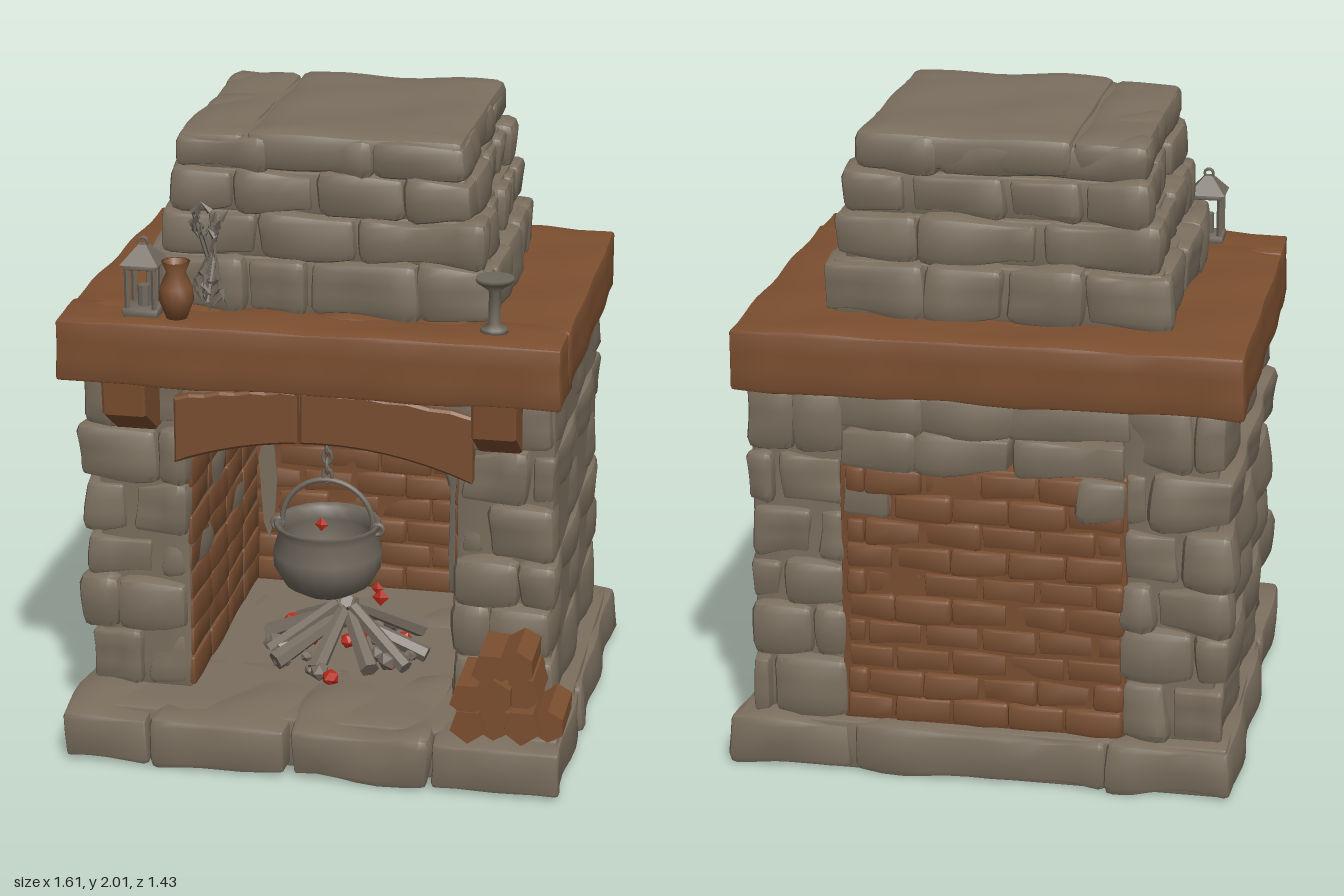
import * as THREE from 'three';
import { mergeGeometries, mergeVertices, toCreasedNormals } from 'three/addons/utils/BufferGeometryUtils.js';

const paint = (name, hex, side = THREE.FrontSide) => {
  const m = new THREE.MeshStandardMaterial({ color: hex, side });
  m.name = name;
  return m;
};
const V = (x, y, z) => new THREE.Vector3(x, y, z);

export function createModel() {
  const model = new THREE.Group();
  model.name = 'fireplace';
  const stone = paint('stone', 0x7a6e5e);
  const wood = paint('wood', 0x7c4f30);
  const brick = paint('brick', 0x794e31);
  const iron = paint('iron', 0x6f685d, THREE.DoubleSide);
  const ash = paint('ash', 0x756b60);
  const ember = paint('ember', 0xb52a1a, THREE.DoubleSide);

  let seed = 11;
  const rnd = (a = 0, b = 1) => {
    seed = (seed * 16807) % 2147483647;
    return a + (b - a) * (seed / 2147483647);
  };

  const add = (name, mat, geos) => {
    const clean = geos.map((g) => {
      const n = g.index ? g.toNonIndexed() : g;
      n.deleteAttribute('uv');
      return n;
    });
    const mesh = new THREE.Mesh(mergeGeometries(clean), mat);
    mesh.name = name;
    model.add(mesh);
  };

  // Chamfered, slightly lumpy block between two corners
  const block = (x0, x1, y0, y1, z0, z1, r = 0.022, amp = 0.011) => {
    const size = [x1 - x0, y1 - y0, z1 - z0];
    const mid = [(x0 + x1) / 2, (y0 + y1) / 2, (z0 + z1) / 2];
    r = Math.min(r, Math.min(...size) * 0.3);
    const segs = size.map((s) => Math.max(3, Math.min(16, Math.round(s / 0.07) + 2)));
    let g = new THREE.BoxGeometry(1, 1, 1, ...segs);
    g.deleteAttribute('uv');
    g.deleteAttribute('normal');
    g = mergeVertices(g);
    const p = g.attributes.position, ph = rnd(0, 20);
    for (let i = 0; i < p.count; i++) {
      const inner = [0, 1, 2].map((k) => {
        const n = segs[k], j = Math.round((p.getComponent(i, k) + 0.5) * n);
        return (Math.min(Math.max((j - 1) / (n - 2), 0), 1) - 0.5) * (size[k] - 2 * r);
      });
      const off = [0, 1, 2].map((k) => (Math.abs(p.getComponent(i, k)) > 0.499 ? Math.sign(p.getComponent(i, k)) : 0));
      const len = Math.hypot(...off);
      const [a, b, c] = inner;
      const lump = amp * (Math.sin(17 * a + ph) * Math.cos(15 * b + 2 * ph) + Math.sin(14 * c + 3 * ph + 9 * a) * 0.8 - 0.5);
      const q = inner.map((v, k) => v + (off[k] / len) * (r + lump) + mid[k]);
      p.setXYZ(i, q[0], Math.max(q[1], 0), q[2]);
    }
    return toCreasedNormals(g, 0.75);
  };

  // Splits a span into uneven pieces
  const cuts = (a, b, n) => Array.from({ length: n + 1 }, (_, i) =>
    a + ((b - a) * (i + (i > 0 && i < n ? rnd(-0.22, 0.22) : 0))) / n);

  // Course of stones around a rectangle
  const course = (x0, x1, y0, y1, z0, z1, nx, nz, t = 0.17) => {
    const out = [block(x0 + 0.04, x1 - 0.04, y0, y1 - 0.005, z0 + 0.04, z1 - 0.04, 0.01, 0)];
    for (const front of [true, false]) {
      const c = cuts(x0, x1, nx);
      for (let i = 0; i < nx; i++) {
        const j = rnd(-0.012, 0.012);
        out.push(front ? block(c[i], c[i + 1], y0, y1, z1 - t, z1 + j, 0.03) : block(c[i], c[i + 1], y0, y1, z0 + j, z0 + t, 0.03));
      }
      const d = cuts(z0 + t * 0.5, z1 - t * 0.5, nz);
      for (let i = 0; i < nz; i++) {
        const j = rnd(-0.012, 0.012);
        out.push(front ? block(x1 - t, x1 + j, y0, y1, d[i], d[i + 1], 0.03) : block(x0 + j, x0 + t, y0, y1, d[i], d[i + 1], 0.03));
      }
    }
    return out;
  };

  // Faceted rod between two points
  const rod = (a, b, r, sides = 6, r2 = r) => {
    const d = b.clone().sub(a);
    const g = new THREE.CylinderGeometry(r2, r, d.length(), sides);
    g.applyQuaternion(new THREE.Quaternion().setFromUnitVectors(V(0, 1, 0), d.normalize()));
    g.translate(...a.clone().add(b).multiplyScalar(0.5).toArray());
    return toCreasedNormals(g, 0.6);
  };
  const lathe = (pts, x, z, n = 20) =>
    new THREE.LatheGeometry(pts.map(([r, y]) => new THREE.Vector2(r, y)), n).translate(x, 0, z);

  // Hearth base
  const base = [block(-0.77, 0.77, 0, 0.165, -0.67, 0.6, 0.01, 0)];
  const splits = [-0.79, -0.5, -0.06, 0.38, 0.8];
  for (let i = 0; i < 4; i++) base.push(block(splits[i], splits[i + 1], 0, 0.17, 0.18, 0.7, 0.025));
  for (const [a, b] of [[-0.79, -0.4], [0.4, 0.8]]) base.push(block(a, b, 0, 0.165, -0.7, 0.18, 0.025));
  base.push(block(-0.4, 0.4, 0, 0.165, -0.7, -0.2, 0.025));
  add('hearthBase', stone, base);

  // Side piers: long slabs, split into an outer and an inner row
  const rows = [0.16, 0.36, 0.53, 0.68, 0.86, 1.04, 1.25];
  const piers = [];
  for (const [s, inner, outer] of [[-1, 0.43, 0.77], [1, 0.42, 0.745]]) {
    for (let i = 0; i < 6; i++) {
      const m = [0.58, 0.66, 0.53, 0.62, 0.52, 0.64][(i + (s > 0 ? 1 : 0)) % 6];
      const o = outer + rnd(-0.02, 0.015);
      const span = (a, b, zf, zb) => piers.push(block(Math.min(s * a, s * b), Math.max(s * a, s * b), rows[i], rows[i + 1], zb, zf, 0.03, 0.014));
      span(m, o, 0.46 + rnd(-0.01, 0.015), -0.66 + rnd(-0.015, 0.01));
      span(inner, m, 0.46 + rnd(-0.025, 0.01), -0.655 + rnd(-0.01, 0.015));
    }
    piers.push(block(Math.min(s * inner, s * 0.72), Math.max(s * inner, s * 0.72), 0.16, 1.25, -0.62, 0.42, 0.01, 0));
  }
  add('stonePiers', stone, piers);

  // Header stones above the opening and at the back
  const header = [];
  for (const [a, b] of [[-0.45, -0.1], [-0.1, 0.2], [0.2, 0.44]]) {
    header.push(block(a, b, 1.1, 1.25, 0.1, 0.455));
    header.push(block(a, b, 1.0, 1.13, -0.665, -0.5), block(a - 0.02, b + 0.02, 1.12, 1.25, -0.66, -0.45));
  }
  header.push(block(-0.45, -0.3, 0.88, 1.01, -0.665, -0.57), block(0.28, 0.44, 0.84, 1.01, -0.665, -0.57));
  add('headerStones', stone, header);

  // Brick back wall, seen from inside and outside
  const bricks = [block(-0.45, 0.44, 0.16, 1.02, -0.64, -0.515, 0.01, 0)];
  for (let r = 0; r < 10; r++) {
    for (let x = -0.44 - (r % 2) * 0.09; x < 0.4; x += 0.178) {
      const y = 0.17 + r * 0.084;
      bricks.push(block(Math.max(x, -0.44), Math.min(x + 0.175, 0.42), y, y + 0.081, -0.648 - rnd(0, 0.014), -0.51 + rnd(0, 0.015), 0.012, 0.006));
    }
  }
  add('brickBack', brick, bricks);

  // Firebox lining and ceiling
  const lining = [block(-0.44, 0.43, 1.03, 1.12, -0.55, 0.2, 0.01, 0.003)];
  for (let r = 0; r < 9; r++) {
    for (let c = 0; c < 4; c++) {
      const y = 0.17 + r * 0.096, z = -0.52 + c * 0.235;
      for (const [a, b] of [[-0.46, -0.42], [0.41, 0.45]])
        lining.push(block(a, b, y, y + 0.095, z, z + 0.233, 0.008, 0.004));
    }
  }
  add('fireboxLining', brick, lining);

  // Worn plaster patches on the inner back wall
  const patch = (x, y, w, h) => {
    const s = new THREE.Shape();
    for (let i = 0; i < 9; i++) {
      const a = (i / 9) * Math.PI * 2, k = rnd(0.75, 1.15);
      s[i ? 'lineTo' : 'moveTo'](x + Math.cos(a) * w * k, y + Math.sin(a) * h * k);
    }
    return new THREE.ExtrudeGeometry(s, { depth: 0.008, bevelEnabled: false }).translate(0, 0, -0.491);
  };
  add('plasterPatches', stone, [patch(-0.36, 0.9, 0.06, 0.1), patch(-0.2, 0.96, 0.14, 0.04), patch(0.36, 0.82, 0.04, 0.14),
    patch(0.36, 0.3, 0.04, 0.13), patch(-0.385, 0.55, 0.03, 0.2), patch(0.2, 0.96, 0.1, 0.03)]);

  // Two-block arch over the opening
  const low = (x) => 1.035 - 0.42 * x * x, high = (x) => 1.2 - 0.2 * x * x;
  const arch = [[-0.46, -0.071], [-0.063, 0.475]].map(([a, b]) => {
    const s = new THREE.Shape();
    for (let i = 0; i <= 8; i++) {
      const x = a + ((b - a) * i) / 8;
      s[i ? 'lineTo' : 'moveTo'](x, low(x));
    }
    for (let i = 8; i >= 0; i--) {
      const x = a + ((b - a) * i) / 8;
      s.lineTo(x, high(x) + (i % 2) * 0.006);
    }
    return new THREE.ExtrudeGeometry(s, { depth: 0.3, bevelSize: 0.008, bevelThickness: 0.008, bevelOffset: -0.008, bevelSegments: 1 }).translate(0, 0, 0.175);
  });
  add('archBlocks', brick, arch);

  // Mantel shelf and corbels
  add('mantel', wood, [block(-0.8, 0.765, 1.24, 1.44, -0.7, 0.46, 0.015, 0.005), block(-0.795, 0.765, 1.238, 1.442, 0.4, 0.635, 0.015, 0.005)]);
  const profile = new THREE.Shape([[0.4, 1.25], [0.615, 1.25], [0.605, 1.14], [0.47, 1.055], [0.4, 1.055]].map(([z, y]) => new THREE.Vector2(-z, y)));
  add('corbels', wood, [-0.65, 0.49].map((x) =>
    new THREE.ExtrudeGeometry(profile, { depth: 0.12, bevelSize: 0.006, bevelThickness: 0.008, bevelSegments: 1 }).rotateY(Math.PI / 2).translate(x + 0.008, 0, 0)));

  // Tapering chimney
  add('chimney', stone, [
    ...course(-0.56, 0.53, 1.43, 1.61, -0.5, 0.445, 4, 3),
    ...course(-0.51, 0.5, 1.6, 1.75, -0.47, 0.44, 3, 4),
    ...course(-0.475, 0.47, 1.74, 1.88, -0.45, 0.435, 4, 3),
    ...course(-0.465, 0.44, 1.87, 1.985, -0.43, 0.43, 3, 3),
    block(-0.46, -0.24, 1.88, 1.99, -0.42, 0.42, 0.025, 0.006), block(-0.24, 0.43, 1.88, 2.0, -0.43, 0.43, 0.03, 0.004)]);

  // Cauldron with bail, chain and crane
  const cx = -0.06, cz = 0.07;
  add('cauldron', iron, [
    lathe([[0, 0.38], [0.08, 0.385], [0.14, 0.42], [0.175, 0.48], [0.178, 0.53], [0.158, 0.59], [0.175, 0.62], [0.17, 0.63], [0.15, 0.62], [0.145, 0.58], [0.155, 0.52], [0.12, 0.44], [0, 0.41]], cx, cz),
    new THREE.TorusGeometry(0.15, 0.009, 6, 20, Math.PI).translate(cx, 0.62, cz),
    ...[-1, 1].map((s) => new THREE.TorusGeometry(0.018, 0.008, 6, 10).translate(cx + s * 0.165, 0.61, cz))]);
  add('chain', iron, Array.from({ length: 6 }, (_, i) =>
    new THREE.TorusGeometry(0.015, 0.006, 5, 8).scale(1, 1.5, 1).rotateY((i % 2) * Math.PI / 2).translate(cx, 0.785 + i * 0.032, cz)));
  add('crane', iron, [block(0.34, 0.39, 0.42, 0.97, cz - 0.025, cz + 0.025, 0.008, 0.002),
    block(-0.08, 0.4, 0.925, 0.95, cz - 0.014, cz + 0.014, 0.005, 0.001),
    block(-0.08, -0.045, 0.92, 1.0, cz - 0.02, cz + 0.02, 0.006, 0.001),
    new THREE.TubeGeometry(new THREE.QuadraticBezierCurve3(V(0.35, 0.78, cz), V(0.33, 0.89, cz), V(0.2, 0.93, cz)), 8, 0.014, 5)]);

  // Fire: ring of charred logs, ash and embers
  const logs = [], coals = [], hot = [];
  for (let i = 0; i < 11; i++) {
    const a = (i / 11) * Math.PI * 2 + rnd(-0.15, 0.15), r = rnd(0.22, 0.28);
    logs.push(rod(V(Math.cos(a) * r, 0.195, 0.05 + Math.sin(a) * r), V(Math.cos(a) * 0.03, rnd(0.28, 0.36), 0.05 + Math.sin(a) * 0.03), rnd(0.024, 0.034), 6, 0.023));
  }
  for (let i = 0; i < 46; i++) {
    const a = rnd(0, 6.28), r = Math.sqrt(rnd()) * 0.27, s = rnd(0.015, 0.035);
    const lump = toCreasedNormals(new THREE.IcosahedronGeometry(s, 0), 0.3).rotateY(a).translate(r * Math.cos(a), 0.17 + s * 0.6 + (0.27 - r) * 0.25, 0.05 + r * Math.sin(a));
    (i % 3 === 0 ? hot : coals).push(lump);
  }
  hot.push(...[[-0.04, 0.69, 0.26, 0.022], [0.14, 0.43, 0.2, 0.028], [0.13, 0.46, 0.2, 0.02]].map(([x, y, z, s]) =>
    toCreasedNormals(new THREE.OctahedronGeometry(s), 0.3).scale(1, 1.1, 0.3).translate(x, y, z)));
  add('charredLogs', ash, logs);
  add('coals', ash, coals);
  add('embers', ember, hot);

  // Firewood stack
  const pile = [];
  [[0.5, 0.7, 0.59, 4], [0.5, 0.66, 0, 3], [0.56, 0.7, 0, 2]].forEach(([x0, , , n], row) => {
    for (let i = 0; i < n; i++) {
      const x = x0 + i * 0.085 + rnd(-0.01, 0.01), y = 0.225 + row * 0.095 + rnd(-0.01, 0.01) + i * 0.008;
      pile.push(rod(V(x, y, 0.45), V(x, y, 0.68 + rnd(-0.03, 0.02)), rnd(0.052, 0.062), 5 + (i % 2)));
    }
  });
  add('firewood', wood, pile);

  // Lantern
  const lx = -0.535, lz = 0.515, lantern = [block(lx - 0.055, lx + 0.055, 1.44, 1.465, lz - 0.055, lz + 0.055, 0.005, 0),
    block(lx - 0.05, lx + 0.05, 1.585, 1.605, lz - 0.05, lz + 0.05, 0.005, 0),
    toCreasedNormals(new THREE.CylinderGeometry(0.018, 0.085, 0.055, 4).rotateY(Math.PI / 4), 0.5).translate(lx, 1.63, lz),
    new THREE.TorusGeometry(0.014, 0.005, 5, 10).translate(lx, 1.665, lz), rod(V(lx, 1.46, lz), V(lx, 1.53, lz), 0.02, 8)];
  for (const i of [-1, 1]) for (const j of [-1, 1])
    lantern.push(rod(V(lx + i * 0.042, 1.45, lz + j * 0.042), V(lx + i * 0.042, 1.6, lz + j * 0.042), 0.009, 4));
  add('lantern', iron, lantern);

  // Vase and candle stand
  add('vase', wood, [lathe([[0, 1.44], [0.032, 1.442], [0.054, 1.5], [0.05, 1.54], [0.03, 1.585], [0.044, 1.62], [0.036, 1.618], [0.022, 1.585], [0, 1.56]], -0.425, 0.55, 14)]);
  add('candleStand', iron, [lathe([[0, 1.44], [0.045, 1.442], [0.04, 1.455], [0.018, 1.47], [0.018, 1.57], [0.058, 1.6], [0.058, 1.612], [0, 1.605]], 0.54, 0.505, 12)]);

  // Dried herb bundle
  const herbs = [];
  for (let i = 0; i < 14; i++) {
    const a = V(-0.33 + rnd(-0.015, 0.015), 1.62, 0.49), up = i < 7;
    const b = V(-0.33 + rnd(-0.08, 0.08), up ? rnd(1.68, 1.78) : rnd(1.46, 1.54), rnd(0.455, 0.54));
    herbs.push(rod(a, b, 0.006, 4, 0.004));
    for (const t of [0.5, 0.75, 0.95]) {
      const p = a.clone().lerp(b, t);
      herbs.push(rod(p, p.clone().add(V(rnd(-0.03, 0.03), up ? 0.03 : -0.03, rnd(-0.01, 0.02))), 0.011, 4, 0.001));
    }
  }
  add('herbBundle', iron, herbs);
  return model;
}
